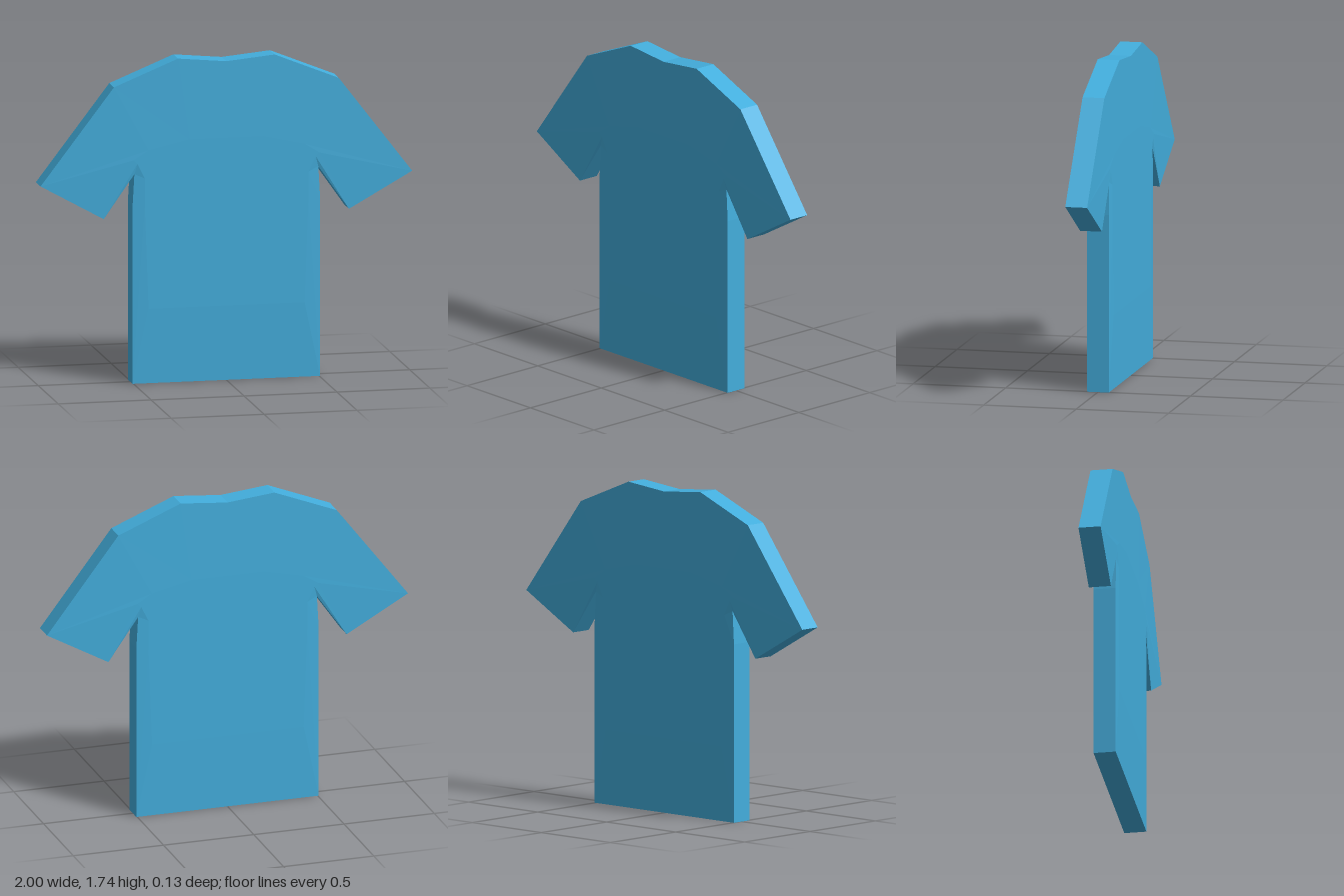
import * as THREE from 'three';

const EDGE_Z = 0.059;  // half thickness at the hem and seams
const CHEST_Z = 0.065; // half thickness over the slightly raised body

// Left half of the shirt outline, from the neckline round to the hem centre
const outline = [
  [0, 1.71], [0.26, 1.735], [0.605, 1.595], [1, 1.08], [0.66, 0.89],
  [0.495, 1.125], [0.505, 0.95], [0.505, 0], [0, 0],
];
// Matching edge of the raised body
const raised = [
  [0, 1.3], [0.2, 1.3], [0.42, 1.25], [0.5, 1.2], [0.48, 1.18],
  [0.44, 1.1], [0.44, 0.95], [0.42, 0.4], [0, 0.4],
];

function shirtGeometry() {
  const positions = [];
  // Adds a triangle and its copies mirrored left-right and front-back
  const addTriangle = (a, b, c) => {
    for (const sx of [1, -1]) for (const sz of [1, -1]) {
      const corners = sx * sz > 0 ? [a, b, c] : [a, c, b];
      for (const [x, y, z] of corners) positions.push(x * sx, y, z * sz);
    }
  };
  const at = ([x, y], z) => [x, y, z];
  const centre = [0, 1.1, CHEST_Z];

  for (let i = 0; i < outline.length - 1; i++) {
    const a = at(outline[i], EDGE_Z), b = at(outline[i + 1], EDGE_Z);
    const a0 = at(outline[i], 0), b0 = at(outline[i + 1], 0);
    const p = at(raised[i], CHEST_Z), q = at(raised[i + 1], CHEST_Z);
    // Side wall
    addTriangle(a, b, b0);
    addTriangle(a, b0, a0);
    // Gentle slope up to the raised body
    addTriangle(a, p, b);
    addTriangle(b, p, q);
    // Raised body
    addTriangle(centre, q, p);
  }

  const geometry = new THREE.BufferGeometry();
  geometry.setAttribute('position', new THREE.Float32BufferAttribute(positions, 3));
  geometry.computeVertexNormals();
  return geometry;
}

export function createModel() {
  const group = new THREE.Group();
  group.name = 'tShirt';
  const fabric = new THREE.MeshStandardMaterial({ color: 0x43aedd });
  const shirt = new THREE.Mesh(shirtGeometry(), fabric);
  shirt.name = 'shirtBodyAndSleeves';
  group.add(shirt);
  return group;
}
